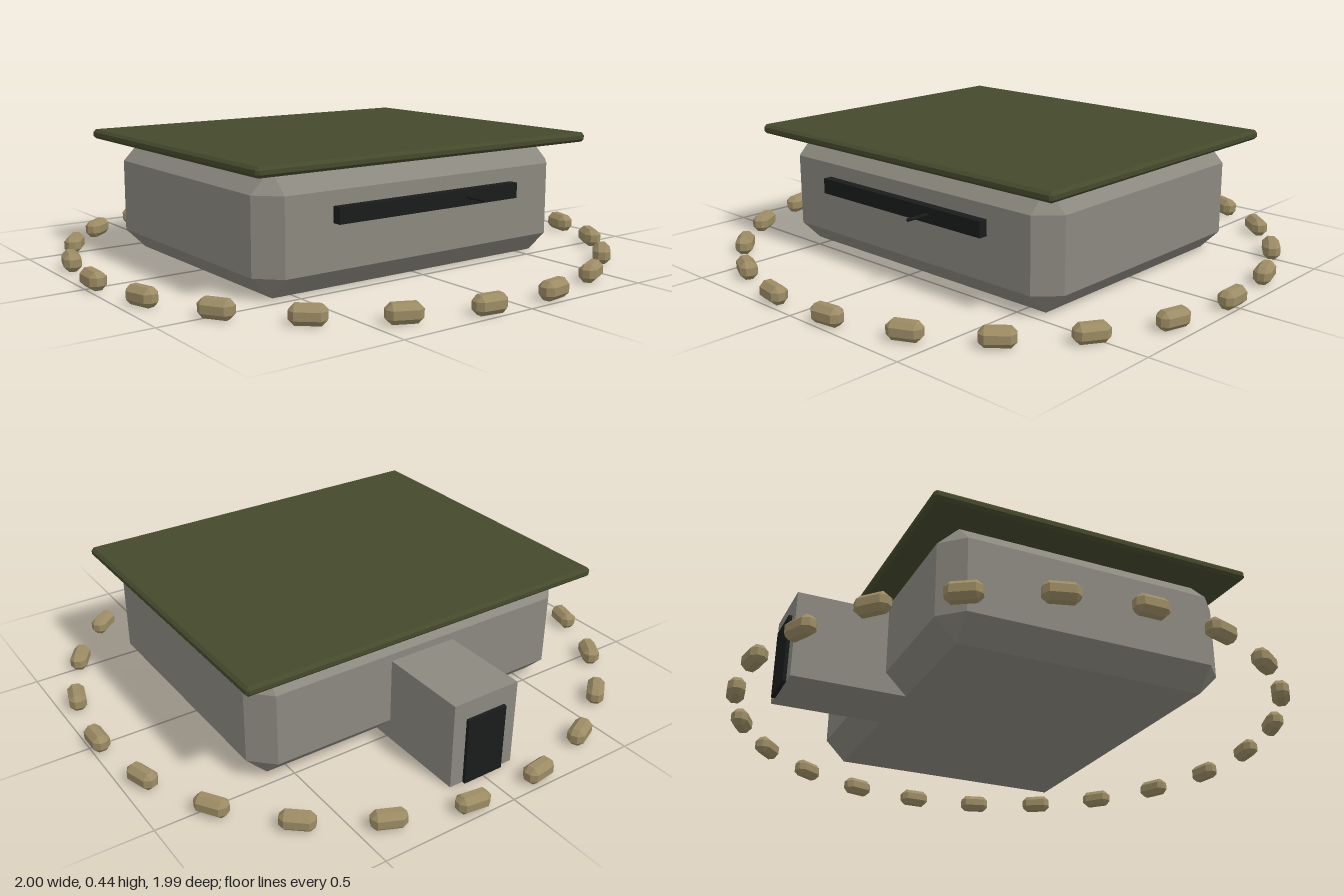
import * as THREE from 'three';
import { ConvexGeometry } from 'three/addons/geometries/ConvexGeometry.js';

// Box with a single flat bevel of size c on every edge and a triangle at each corner
function chamferedBox(w, h, d, c) {
  const points = [];
  for (const sx of [-1, 1]) for (const sy of [-1, 1]) for (const sz of [-1, 1]) {
    const x = w / 2, y = h / 2, z = d / 2;
    points.push(new THREE.Vector3(sx * x, sy * (y - c), sz * (z - c)));
    points.push(new THREE.Vector3(sx * (x - c), sy * y, sz * (z - c)));
    points.push(new THREE.Vector3(sx * (x - c), sy * (y - c), sz * z));
  }
  return new ConvexGeometry(points);
}

export function createModel() {
  const model = new THREE.Group();
  model.name = 'bunker';

  const material = (name, color) => {
    const m = new THREE.MeshStandardMaterial({ color });
    m.name = name;
    return m;
  };
  const concrete = material('concrete', 0x8b887f);
  const olive = material('olive', 0x454a2c);
  const sand = material('sand', 0x9c8c64);
  const black = material('black', 0x1a1b1b);

  const add = (name, geometry, mat, x, y, z, parent = model) => {
    const mesh = new THREE.Mesh(geometry, mat);
    mesh.name = name;
    mesh.position.set(x, y, z);
    parent.add(mesh);
    return mesh;
  };

  // Bevelled concrete body and overhanging roof slab
  add('body', chamferedBox(1.29, 0.409, 1.035, 0.075), concrete, 0, 0.2045, 0);
  add('roof', chamferedBox(1.41, 0.034, 1.16, 0.01), olive, 0, 0.425, 0);

  // Firing slit with a gun barrel poking out
  add('firingSlit', new THREE.BoxGeometry(0.775, 0.055, 0.05), black, 0, 0.257, 0.525);
  const barrel = add('gunBarrel', new THREE.CylinderGeometry(0.006, 0.006, 0.16, 8), black, 0.15, 0.259, 0.555);
  barrel.rotation.x = Math.PI / 2;

  // Rear entrance passage and its door
  add('entrance', new THREE.BoxGeometry(0.256, 0.308, 0.4), concrete, 0, 0.154, -0.64);
  add('door', new THREE.BoxGeometry(0.154, 0.243, 0.014), black, 0, 0.1215, -0.845);

  // Ring of sandbags, each lying along the circle
  const ring = new THREE.Group();
  ring.name = 'sandbagRing';
  model.add(ring);
  const bag = chamferedBox(0.06, 0.063, 0.115, 0.018);
  const count = 22;
  for (let i = 0; i < count; i++) {
    const a = (i / count) * Math.PI * 2;
    const mesh = add('sandbag', bag, sand, Math.cos(a) * 0.97, 0.0315, Math.sin(a) * 0.97, ring);
    mesh.rotation.y = -a;
  }

  return model;
}
